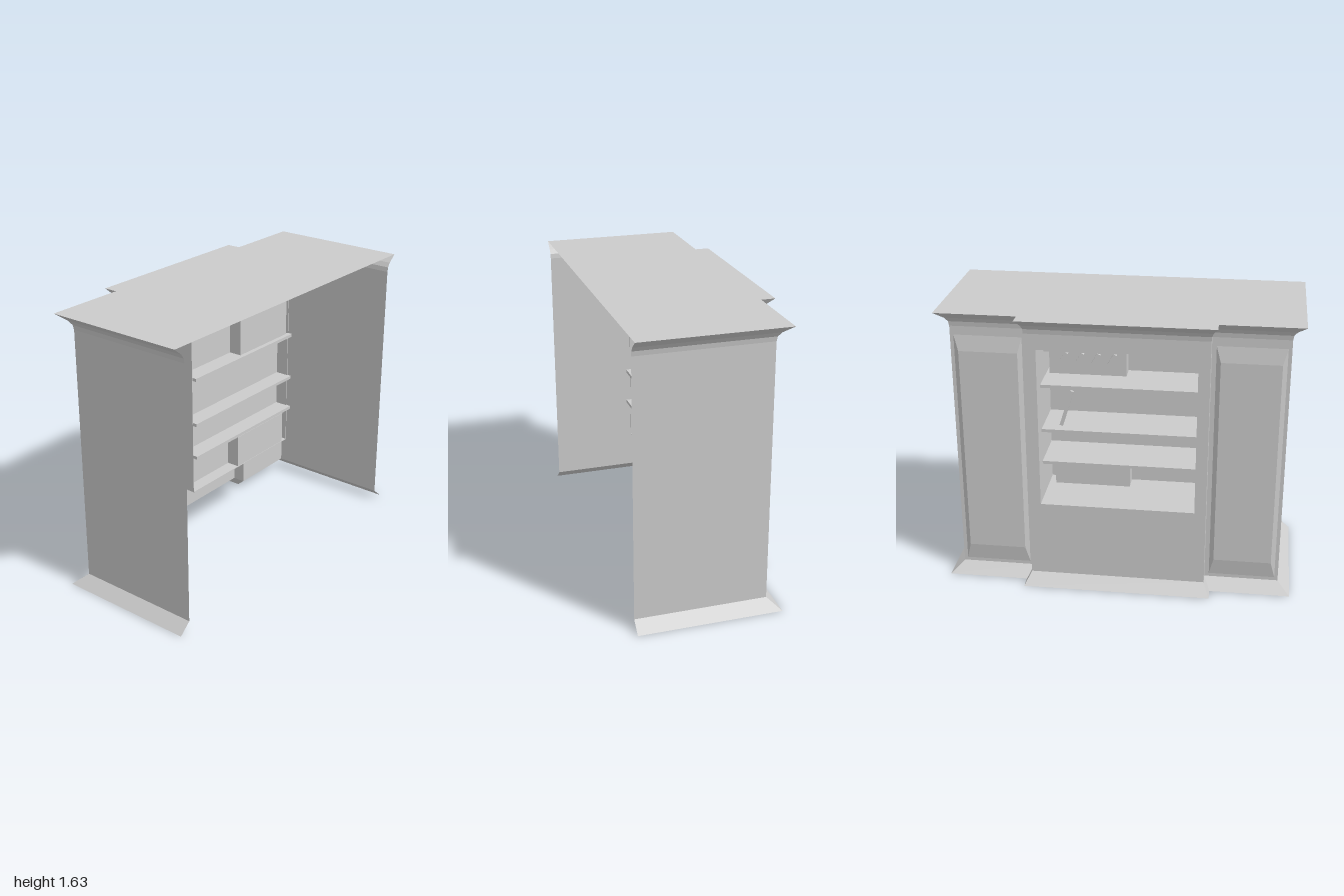
import * as THREE from 'three';

const material = new THREE.MeshStandardMaterial({ color: 0xcccccc, side: THREE.DoubleSide, flatShading: true });

function add(parent, name, geometry) {
  const mesh = new THREE.Mesh(geometry, material);
  mesh.name = name;
  parent.add(mesh);
  return mesh;
}

// Box given by its minimum and maximum on each axis
function box(parent, name, [x0, x1], [y0, y1], [z0, z1]) {
  const mesh = add(parent, name, new THREE.BoxGeometry(x1 - x0, y1 - y0, z1 - z0));
  mesh.position.set((x0 + x1) / 2, (y0 + y1) / 2, (z0 + z1) / 2);
  return mesh;
}

// Flat quads, each with four corners counter-clockwise
function quads(list) {
  const pos = [];
  for (const [a, b, c, d] of list) pos.push(...a, ...b, ...c, ...a, ...c, ...d);
  const g = new THREE.BufferGeometry();
  g.setAttribute('position', new THREE.Float32BufferAttribute(pos, 3));
  g.computeVertexNormals();
  return g;
}

// Plan of the shell flared outward by t (0 = wall, 1 = full overhang), open at +x
function plan(t) {
  const half = [
    [0.45, 0.93 + 0.07 * t],
    [-0.3 - 0.07 * t, 0.93 + 0.07 * t],
    [-0.3 - 0.07 * t, 0.505 + 0.035 * t],
    [-0.375 - 0.075 * t, 0.505 + 0.035 * t],
  ];
  return [...half, ...half.map(([x, z]) => [x, -z]).reverse()];
}

// Band of the shell between two levels, each [height, flare]
function band([y0, t0], [y1, t1], skip = -1) {
  const lo = plan(t0), hi = plan(t1), list = [];
  for (let i = 0; i < lo.length - 1; i++) {
    if (i === skip) continue;
    const at = (p, y) => [p[0], y, p[1]];
    list.push([at(lo[i], y0), at(hi[i], y1), at(hi[i + 1], y1), at(lo[i + 1], y0)].reverse());
  }
  return quads(list);
}

export function createModel() {
  const model = new THREE.Group();
  model.name = 'shopfrontCabinet';

  // Skirting, walls and flared cornice
  const levels = [[0, 1], [0.06, 0], [1.54, 0], [1.567, 0.06], [1.592, 0.3], [1.633, 1]];
  const names = ['skirting', 'walls', 'corniceNeck', 'corniceCurve', 'corniceLip'];
  names.forEach((name, i) => add(model, name, band(levels[i], levels[i + 1], name === 'walls' ? 3 : -1)));

  // Roof
  const roof = new THREE.Shape(plan(1).map(([x, z]) => new THREE.Vector2(x, -z)));
  add(model, 'roof', new THREE.ShapeGeometry(roof).rotateX(-Math.PI / 2)).position.y = 1.633;

  // Centre facade with the display window cut out
  const rect = (S, a, b, c, d) => new S([[a, c], [b, c], [b, d], [a, d]].map((p) => new THREE.Vector2(...p)));
  const facade = rect(THREE.Shape, -0.505, 0.505, 0.06, 1.54);
  facade.holes.push(rect(THREE.Path, -0.44, 0.44, 0.51, 1.45));
  add(model, 'facade', new THREE.ShapeGeometry(facade).rotateY(-Math.PI / 2)).position.x = -0.375;

  // Raised bevelled panels on both flanks
  for (const s of [1, -1]) {
    const ring = (x, z0, z1, y0, y1) => [[x, y0, s * z0], [x, y0, s * z1], [x, y1, s * z1], [x, y1, s * z0]];
    const outer = ring(-0.3, 0.53, 0.91, 0.08, 1.49);
    const inner = ring(-0.315, 0.555, 0.885, 0.18, 1.4);
    const faces = [inner];
    for (let i = 0; i < 4; i++) {
      const j = (i + 1) % 4;
      faces.push([outer[i], outer[j], inner[j], inner[i]]);
    }
    if (s < 0) faces.forEach((f) => f.reverse());
    add(model, s > 0 ? 'frontFlankPanel' : 'rearFlankPanel', quads(faces));
  }

  // Display niche behind the window
  const niche = new THREE.Group();
  niche.name = 'displayNiche';
  model.add(niche);
  const depth = [-0.374, 0.08];
  box(niche, 'nicheFloor', depth, [0.506, 0.51], [-0.44, 0.44]);
  box(niche, 'nicheCeiling', depth, [1.45, 1.454], [-0.44, 0.44]);
  for (const s of [1, -1]) box(niche, 'nicheSide', depth, [0.51, 1.45], [s * 0.442 - 0.002, s * 0.442 + 0.002]);
  box(niche, 'nicheBack', [0.0, 0.005], [0.51, 1.45], [-0.44, 0.44]);

  // Shelves, reaching slightly through the back
  for (const y of [1.2, 0.93, 0.73]) box(niche, 'shelf', [-0.28, 0.105], [y - 0.009, y + 0.009], [-0.445, 0.44]);

  // Stored goods
  box(niche, 'upperCrate', [-0.1, 0.08], [1.21, 1.43], [-0.42, 0.02]);
  box(niche, 'lowerCrate', [-0.1, 0.08], [0.512, 0.7], [-0.4, 0.04]);
  for (let i = 0; i < 4; i++) {
    const hook = box(niche, 'hook', [-0.26, -0.24], [1.33, 1.4], [-0.32 + i * 0.09, -0.3 + i * 0.09]);
    hook.rotation.x = 0.5;
  }
  box(niche, 'hookRail', [-0.26, -0.24], [1.4, 1.42], [-0.42, 0.02]);
  box(niche, 'leaningStick', [-0.25, -0.235], [0.95, 1.17], [-0.31, -0.29]).rotation.x = 0.3;

  return model;
}
